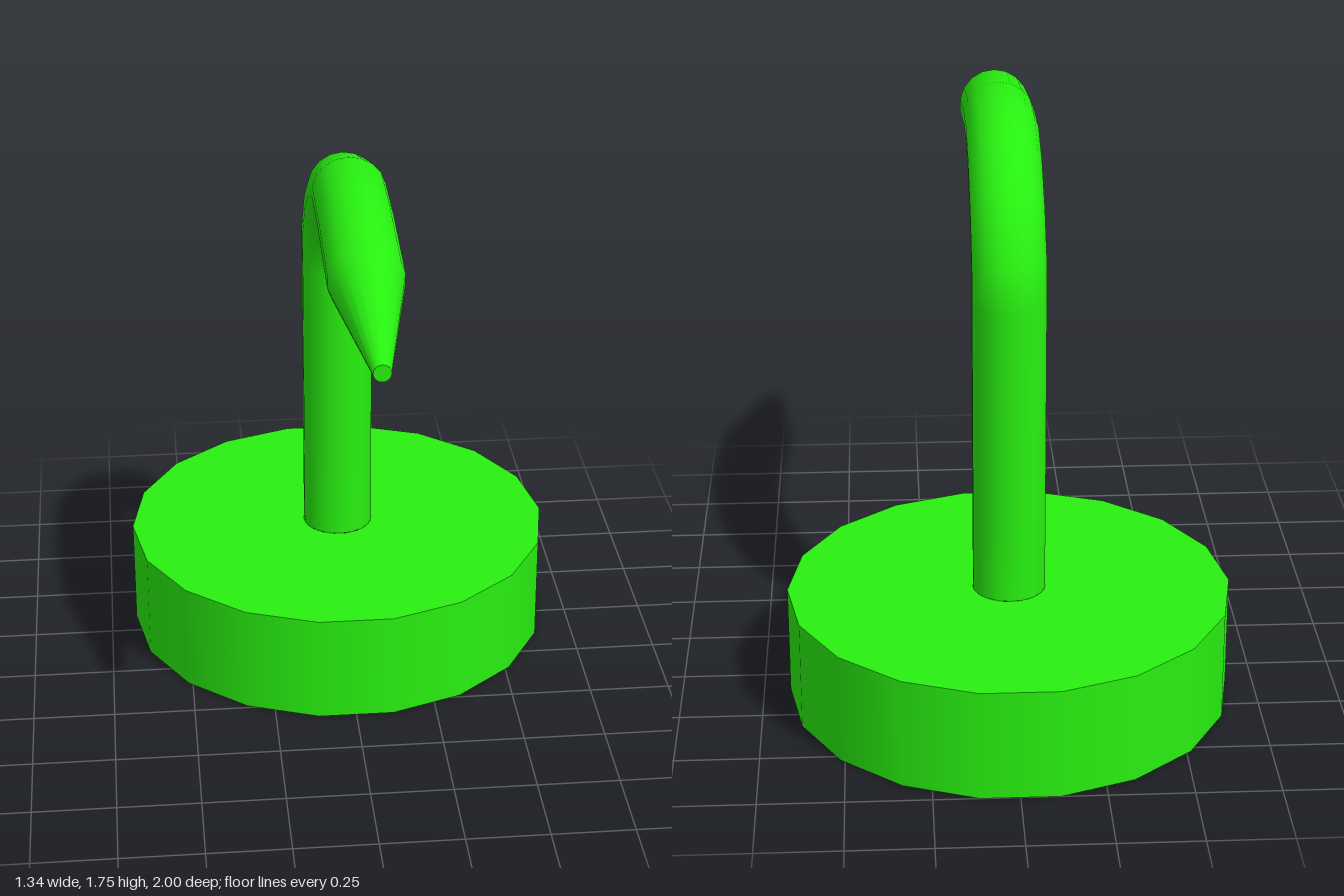
import * as THREE from 'three';

const SIDES = 18;
const BASE_Z = -0.34, BASE_R = 0.67, BASE_H = 0.34, STEM_R = 0.11;

// Lofts elliptical rings; each section is [outer z, outer y, inner z, inner y, half width in x]
function loft(sections) {
  const pos = [], index = [];
  for (const [oz, oy, iz, iy, w] of sections) {
    for (let j = 0; j < SIDES; j++) {
      const a = (j / SIDES) * Math.PI * 2, c = Math.cos(a) / 2;
      pos.push(w * Math.sin(a), (oy + iy) / 2 + (oy - iy) * c, (oz + iz) / 2 + (oz - iz) * c);
    }
  }
  for (let i = 0; i < sections.length - 1; i++) {
    for (let j = 0; j < SIDES; j++) {
      const a = i * SIDES + j, b = i * SIDES + (j + 1) % SIDES;
      index.push(a, a + SIDES, b, b, a + SIDES, b + SIDES);
    }
  }
  const g = new THREE.BufferGeometry();
  g.setAttribute('position', new THREE.Float32BufferAttribute(pos, 3));
  g.setIndex(index);
  // Make the faces point away from the tube's axis
  g.computeVertexNormals();
  if (g.attributes.normal.getZ(0) > 0) {
    g.setIndex(index.map((v, k) => index[k % 3 === 1 ? k + 1 : k % 3 === 2 ? k - 1 : k]));
    g.computeVertexNormals();
  }
  return g;
}

export function createModel() {
  const model = new THREE.Group();
  const green = new THREE.MeshStandardMaterial({ color: 0x28f010, side: THREE.DoubleSide });
  const add = (name, geometry, parent = model) => {
    const mesh = new THREE.Mesh(geometry, green);
    mesh.name = name;
    parent.add(mesh);
    return mesh;
  };

  // Hollow base: top plate with a hole for the stem, thin wall, inward lip at the bottom
  const base = new THREE.Group();
  base.name = 'base';
  base.position.z = BASE_Z;
  model.add(base);
  add('baseWall', new THREE.CylinderGeometry(BASE_R, BASE_R, BASE_H, SIDES, 1, true, Math.PI / 2)
    .translate(0, BASE_H / 2, 0), base);
  add('baseTop', new THREE.RingGeometry(STEM_R, BASE_R, SIDES)
    .rotateX(-Math.PI / 2).translate(0, BASE_H, 0), base);
  add('baseLip', new THREE.RingGeometry(0.56, BASE_R, SIDES).rotateX(Math.PI / 2), base);

  // Upright stem bending forward into a tapered spout
  const upright = [BASE_H, 0.6, 1.0, 1.25].map(
    (y) => [BASE_Z - STEM_R, y, BASE_Z + STEM_R, y, STEM_R]);
  const bend = [
    [-0.445, 1.40, -0.235, 1.33, 0.11],
    [-0.31, 1.57, -0.16, 1.42, 0.11],
    [-0.14, 1.69, -0.06, 1.49, 0.11],
    [0.05, 1.745, 0.07, 1.545, 0.11],
    [0.27, 1.74, 0.25, 1.525, 0.11],
    [0.59, 1.69, 0.56, 1.47, 0.11],
    [1.0, 1.525, 1.0, 1.475, 0.025],
  ];
  add('stemAndSpout', loft([...upright, ...bend]));

  // Small flat end of the spout
  add('spoutTip', new THREE.CircleGeometry(0.025, SIDES)).position.set(0, 1.5, 1.0);

  return model;
}
